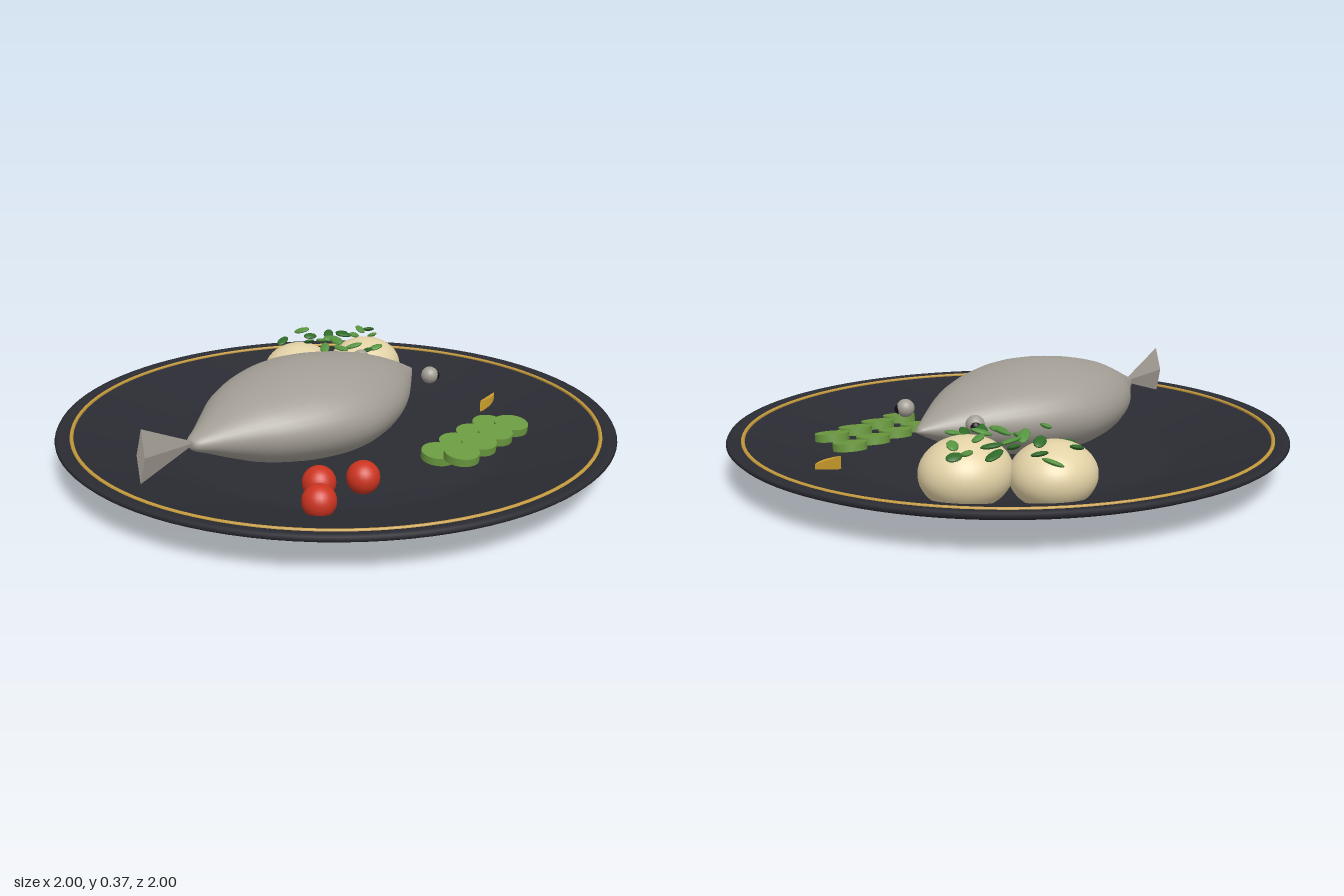
import * as THREE from 'three';
import { mergeVertices } from 'three/addons/utils/BufferGeometryUtils.js';

const mat = (name, color, side = THREE.FrontSide) => {
  const m = new THREE.MeshStandardMaterial({ color, side });
  m.name = name;
  return m;
};

export function createModel() {
  const group = new THREE.Group();
  const M = {
    plate: mat('charcoal', 0x2b2b33),
    gold: mat('gold', 0xc49a3c),
    fish: mat('silver grey', 0xa39e95, THREE.DoubleSide),
    pupil: mat('black', 0x101012),
    potato: mat('cream', 0xe3d2a6),
    tomato: mat('red', 0xcc3420),
    cucumber: mat('cucumber green', 0x6b9a40),
    lemon: mat('lemon', 0xcc9f2c),
    leafDark: mat('dark green', 0x2f6a28),
    leafLight: mat('leaf green', 0x559440),
  };
  const add = (name, geo, material, x = 0, y = 0, z = 0, parent = group) => {
    const mesh = new THREE.Mesh(geo, material);
    mesh.name = name;
    mesh.position.set(x, y, z);
    parent.add(mesh);
    return mesh;
  };
  const v2 = (p) => new THREE.Vector2(...p);

  // Plate: flat foot, sloping underside, rounded rim and shallow well
  const profile = [[0, 0], [0.58, 0], [0.61, 0.003], [0.96, 0.107], [0.99, 0.12], [1, 0.13],
    [0.995, 0.139], [0.98, 0.141], [0.95, 0.134], [0.88, 0.115], [0.64, 0.052], [0.58, 0.045], [0, 0.045]].map(v2);
  add('plate', new THREE.LatheGeometry(profile, 96), M.plate);
  const ring = add('goldRing', new THREE.TorusGeometry(0.943, 0.007, 8, 96), M.gold, 0, 0.133, 0);
  ring.rotation.x = Math.PI / 2;

  // Fish body: turned profile laid along x, then flattened in height
  const fish = new THREE.Group();
  fish.name = 'fish';
  fish.position.set(-0.0875, 0.205, -0.04);
  fish.rotation.y = -0.106;
  group.add(fish);
  const halfWidth = new THREE.SplineCurve([[0, -0.568], [0.03, -0.56], [0.072, -0.5], [0.142, -0.41],
    [0.215, -0.31], [0.285, -0.16], [0.311, -0.01], [0.28, 0.14], [0.208, 0.29], [0.1, 0.44], [0.0, 0.567]].map(v2));
  const pts = halfWidth.getPoints(40).map((p) => new THREE.Vector2(Math.max(p.x, 0), p.y));
  let body = new THREE.LatheGeometry(pts, 40);
  body.rotateZ(-Math.PI / 2);
  const pos = body.attributes.position;
  for (let i = 0; i < pos.count; i++) {
    const u = pos.getX(i);
    pos.setY(i, pos.getY(i) * (0.53 + 0.5 * u * u));
  }
  body.deleteAttribute('normal');
  body.deleteAttribute('uv');
  body = mergeVertices(body, 1e-4);
  body.computeVertexNormals();
  add('fishBody', body, M.fish, 0, 0, 0, fish);

  // Tail: four-sided cone flattened to a fan
  const tailGeo = new THREE.ConeGeometry(1, 1, 4).toNonIndexed();
  tailGeo.rotateZ(-Math.PI / 2);
  tailGeo.scale(0.23, 0.09, 0.02);
  tailGeo.computeVertexNormals();
  const tail = add('tail', tailGeo, M.fish, -0.655, 0.011, 0, fish);
  tail.rotation.z = -0.08;
  tail.rotation.y = 0.03;

  // Eyes with pupils facing forward and outward
  for (const [s, x, z] of [[1, 0.35, 0.18], [-1, 0.38, -0.16]]) {
    add('eye', new THREE.SphereGeometry(0.032, 20, 14), M.fish, x, 0.24, z);
    add('pupil', new THREE.SphereGeometry(0.019, 16, 12), M.pupil, x + 0.014, 0.238, z + s * 0.013);
  }

  // Potatoes
  const ball = new THREE.SphereGeometry(1, 36, 24);
  add('potato', ball, M.potato, 0.565, 0.143, -0.275).scale.set(0.157, 0.115, 0.145);
  add('potato', ball, M.potato, 0.385, 0.132, -0.48).scale.set(0.148, 0.108, 0.138);

  // Cherry tomatoes
  for (const [x, z] of [[-0.565, 0.357], [-0.45, 0.268], [-0.33, 0.357]]) {
    add('tomato', new THREE.SphereGeometry(0.056, 24, 16), M.tomato, x, 0.1, z);
  }

  // Cucumber slices in two overlapping rows
  const slice = new THREE.CylinderGeometry(0.062, 0.062, 0.028, 28);
  for (let row = 0; row < 2; row++) {
    for (let i = 0; i < 4; i++) {
      const c = add('cucumberSlice', slice, M.cucumber, 0.043 + i * 0.118, 0.074 + row * 0.02, 0.415 + row * 0.092);
      c.rotation.x = 0.12;
      c.rotation.z = 0.06;
    }
  }

  // Lemon wedge: extruded sector
  const wedge = new THREE.Shape();
  wedge.moveTo(0, 0);
  wedge.absarc(0, 0, 0.13, -Math.PI / 2 - 0.5, -Math.PI / 2 + 0.5, false);
  wedge.closePath();
  const wedgeGeo = new THREE.ExtrudeGeometry(wedge, { depth: 0.045, bevelEnabled: false, curveSegments: 8 });
  wedgeGeo.rotateX(-Math.PI / 2);
  add('lemonWedge', wedgeGeo, M.lemon, 0.622, 0.053, 0.165).rotation.y = 0.06;

  // Herb leaves: x, y, z, heading, half length, shade (1 = light)
  const leafGeo = new THREE.SphereGeometry(1, 12, 8);
  const leaves = [
    [0.39, 0.235, -0.57, 0.2, 0.034, 0], [0.52, 0.235, -0.525, -0.4, 0.03, 0],
    [0.43, 0.243, -0.46, 0.4, 0.034, 0], [0.28, 0.21, -0.455, -0.5, 0.034, 0],
    [0.57, 0.235, -0.61, -1.2, 0.036, 1], [0.73, 0.245, -0.37, -0.2, 0.028, 0],
    [0.63, 0.24, -0.44, 0.1, 0.042, 0], [0.55, 0.25, -0.45, 0.5, 0.036, 0],
    [0.22, 0.23, -0.33, 0.8, 0.034, 1], [0.44, 0.255, -0.405, 0.5, 0.045, 1],
    [0.5, 0.25, -0.4, -0.2, 0.042, 1], [0.4, 0.24, -0.355, 0.6, 0.04, 1],
    [0.41, 0.25, -0.28, 1.3, 0.042, 1], [0.4, 0.235, -0.2, 1.0, 0.042, 0],
    [0.46, 0.26, -0.34, 1.1, 0.045, 1], [0.47, 0.25, -0.26, -0.9, 0.036, 1],
    [0.57, 0.262, -0.33, 0.3, 0.032, 1], [0.65, 0.25, -0.295, 0.7, 0.03, 1],
    [0.52, 0.245, -0.185, -0.4, 0.03, 1], [0.69, 0.25, -0.385, 0.9, 0.034, 1],
    [0.48, 0.24, -0.2, 0.9, 0.036, 0], [0.58, 0.25, -0.39, -0.7, 0.036, 0],
  ];
  leaves.forEach(([x, y, z, heading, len, light], i) => {
    const leaf = add('herbLeaf', leafGeo, light ? M.leafLight : M.leafDark, x, y, z);
    leaf.scale.set(len, 0.008, 0.02);
    leaf.rotation.set(0.35 * Math.sin(i * 2.1), heading, 0.3 * Math.cos(i * 1.7), 'YXZ');
  });

  return group;
}
